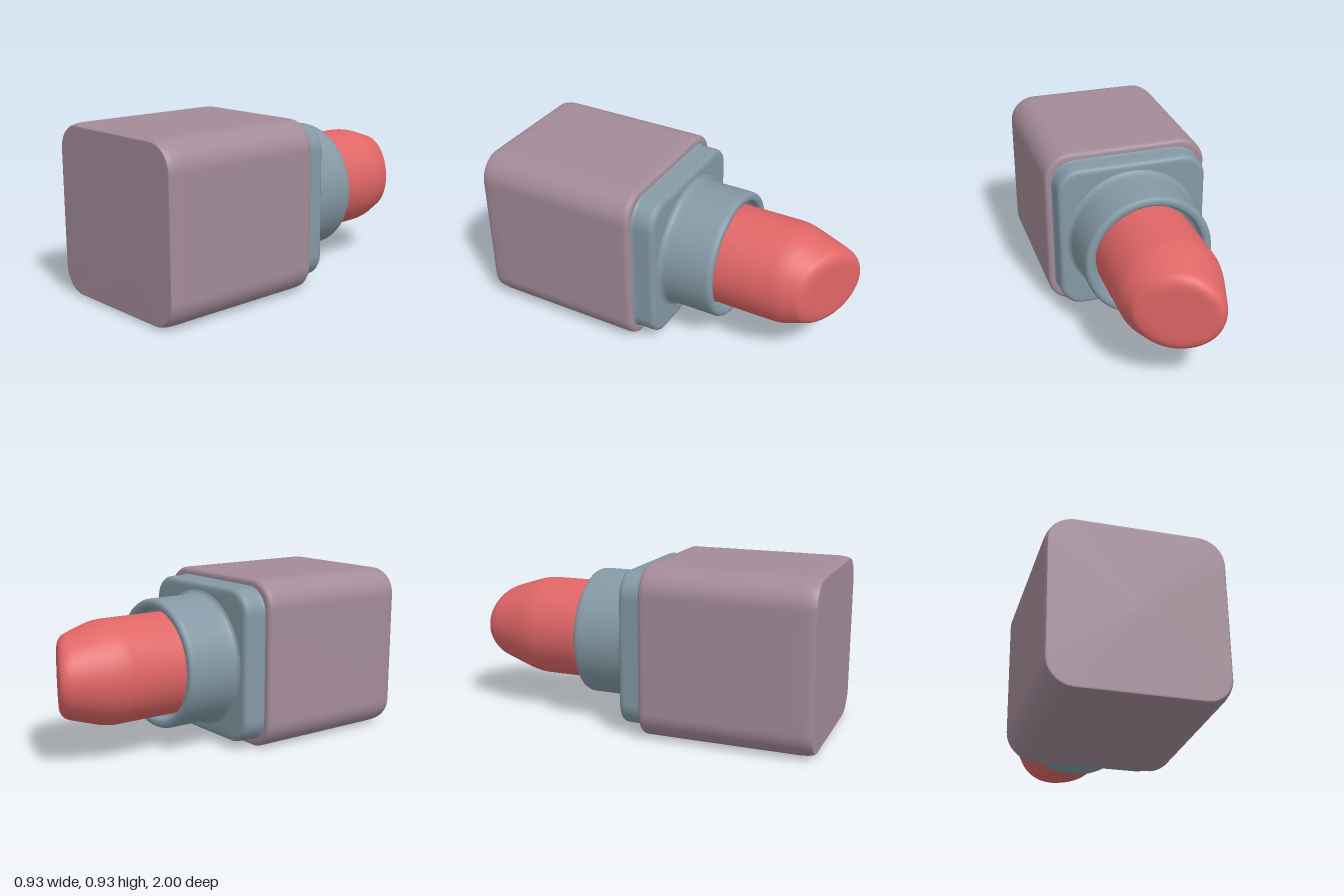
import * as THREE from 'three';

const AXIS_Y = 0.466; // height of the long axis, which runs along z

// Smooth skin over rings of points, ordered from front (+z) to back (-z)
function loft(rings) {
  const n = rings[0].length, index = [];
  for (let i = 0; i < rings.length - 1; i++) {
    for (let j = 0; j < n; j++) {
      const k = (j + 1) % n;
      const a = i * n + j, b = i * n + k, c = a + n, d = b + n;
      index.push(a, c, b, c, d, b);
    }
  }
  const geo = new THREE.BufferGeometry().setFromPoints(rings.flat());
  geo.setIndex(index);
  geo.computeVertexNormals();
  return geo;
}

// Square ring with rounded corners, counter-clockwise seen from the front
function squareRing(half, radius, z) {
  const pts = [], steps = 12, c = half - radius;
  for (let q = 0; q < 4; q++) {
    const mid = (q + 0.5) * Math.PI / 2;
    const cx = Math.sign(Math.cos(mid)) * c, cy = Math.sign(Math.sin(mid)) * c;
    for (let s = 0; s <= steps; s++) {
      const t = (q + s / steps) * Math.PI / 2;
      pts.push(new THREE.Vector3(cx + radius * Math.cos(t), cy + radius * Math.sin(t), z));
    }
  }
  return pts;
}

// Rounded block from [half width, z] steps; a repeated step makes a crease
function block(profile, corner) {
  const half = Math.max(...profile.map(p => p[0]));
  return loft(profile.map(([h, z]) => squareRing(h, Math.max(corner - (half - h), h * 0.25), z)));
}

// Tapered stick with a softened slanted cut
function stickGeometry() {
  const n = 64, start = [], shoulder = [], rim = [];
  const centre = new THREE.Vector3(0, 0, -0.94);
  for (let j = 0; j < n; j++) {
    const t = j / n * Math.PI * 2, c = Math.cos(t), s = Math.sin(t);
    const r = 0.203 / (1 - 0.155 * c);
    start.push(new THREE.Vector3(0.281 * c, 0.281 * s, -0.28));
    shoulder.push(new THREE.Vector3(0.281 * c, 0.281 * s, -0.7));
    rim.push(new THREE.Vector3(r * c, r * s, -0.94 + 0.47 * r * c));
  }
  const mix = (a, b, t) => a.map((p, j) => p.clone().lerp(b[j], t));
  const bend = (a, p, b, steps) => Array.from({ length: steps + 1 }, (_, i) => {
    const t = i / steps;
    return mix(mix(a, p, t), mix(p, b, t), t);
  });
  const tip = rim.map(() => centre.clone());
  return loft([
    start,
    ...bend(mix(shoulder, start, 0.12), shoulder, mix(shoulder, rim, 0.25), 6),
    ...bend(mix(rim, shoulder, 0.25), rim, mix(rim, tip, 0.3), 8),
    mix(rim, tip, 0.4),
    tip,
  ]);
}

export function createModel() {
  const model = new THREE.Group();
  model.name = 'lipstick';
  const pink = new THREE.MeshStandardMaterial({ color: 0xa38b98 });
  const steel = new THREE.MeshStandardMaterial({ color: 0x8499a5 });
  const red = new THREE.MeshStandardMaterial({ color: 0xe06666 });

  const add = (name, geo, material) => {
    const mesh = new THREE.Mesh(geo, material);
    mesh.name = name;
    mesh.position.y = AXIS_Y;
    model.add(mesh);
  };

  // Square handle with a crisp front face and a soft back edge
  add('base', block([
    [0, 1], [0.44, 1], [0.449, 0.998], [0.449, 0.998], [0.456, 0.985], [0.46, 0.965],
    [0.463, 0.93], [0.463, 0.9], [0.463, 0.13], [0.463, 0.1], [0.461, 0.085],
    [0.455, 0.074], [0.445, 0.069], [0.43, 0.068], [0.38, 0.068], [0, 0.068],
  ], 0.15), pink);

  // Square step between handle and sleeve
  add('collar', block([
    [0.428, 0.069], [0.423, 0.062], [0.421, 0.05], [0.421, 0.03], [0.421, -0.025],
    [0.419, -0.042], [0.412, -0.053], [0.4, -0.058], [0.385, -0.059], [0.36, -0.059], [0, -0.059],
  ], 0.14), steel);

  // Round sleeve: flared foot, rounded rim and recess around the stick
  const sleeve = new THREE.LatheGeometry([
    [0.385, 0.057], [0.37, 0.063], [0.361, 0.072], [0.357, 0.09], [0.356, 0.12],
    [0.356, 0.325], [0.355, 0.343], [0.35, 0.355], [0.341, 0.361], [0.33, 0.362],
    [0.318, 0.361], [0.309, 0.356], [0.304, 0.346], [0.302, 0.33], [0.302, 0.29], [0.27, 0.29],
  ].map(([x, y]) => new THREE.Vector2(x, y)), 64);
  sleeve.rotateX(-Math.PI / 2);
  add('sleeve', sleeve, steel);

  add('stick', stickGeometry(), red);
  return model;
}
